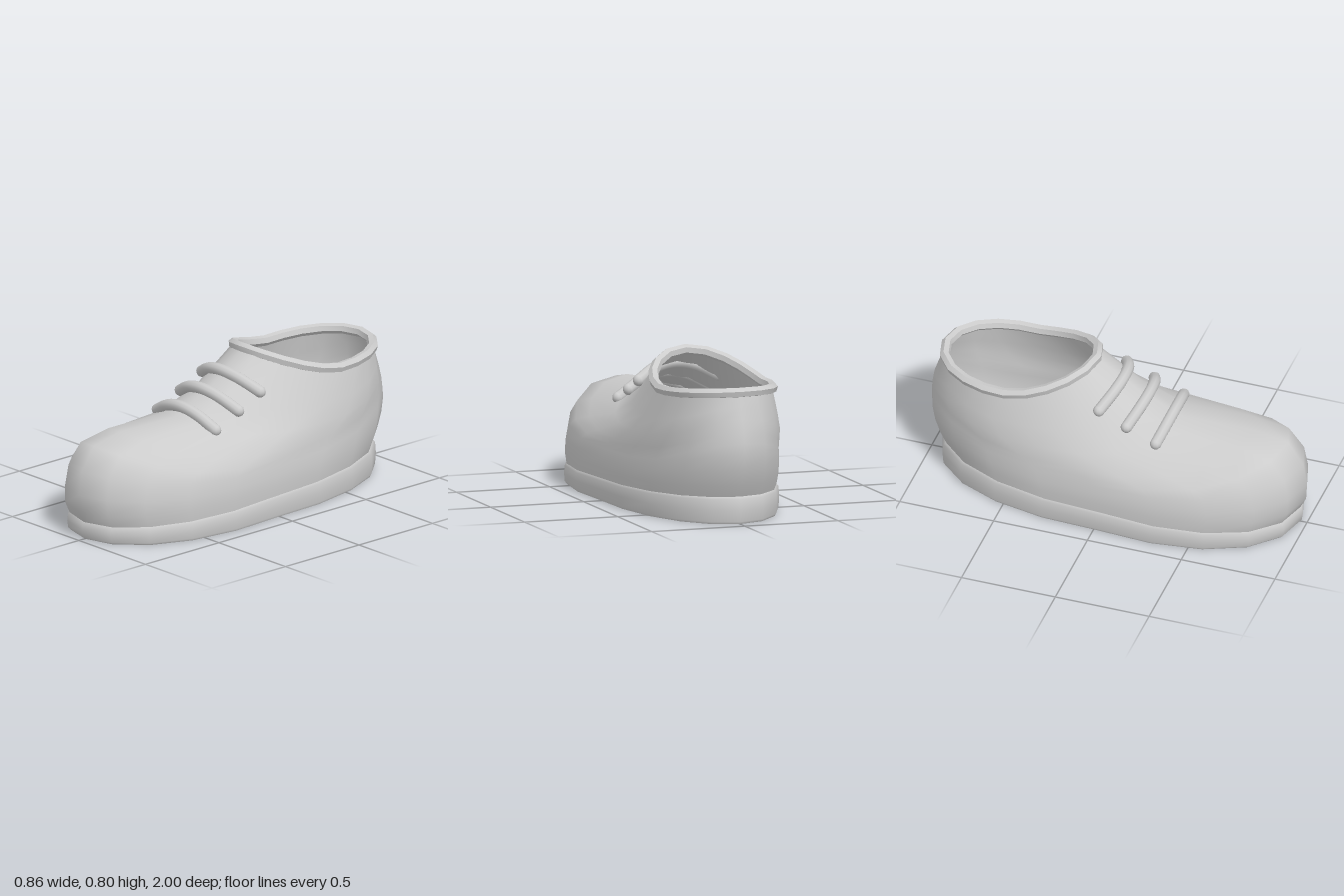
import * as THREE from 'three';
import { toCreasedNormals } from 'three/addons/utils/BufferGeometryUtils.js';

const SIDES = 20;
const material = new THREE.MeshStandardMaterial({ color: 0xcccccc, side: THREE.DoubleSide });

// One horizontal outline: front and back ends, half width, side height, and extra toe width.
function ring([zFront, yFront, zBack, yBack, width, ySide, toe = 0], power) {
  const zMid = (zFront + zBack) / 2, half = (zFront - zBack) / 2;
  return Array.from({ length: SIDES }, (_, i) => {
    const angle = (i / SIDES) * Math.PI * 2, c = Math.cos(angle);
    const yEnd = c > 0 ? yFront : yBack;
    const fullness = c > 0 ? toe * c : -0.08 * c;
    return new THREE.Vector3(
      width * Math.sin(angle) * (1 + fullness),
      ySide + (yEnd - ySide) * Math.pow(Math.abs(c), power),
      zMid + half * c
    );
  });
}

// Smooth skin through a stack of closed outlines.
function loft(rings) {
  const position = rings.flatMap(r => r.flatMap(p => p.toArray()));
  const index = [];
  for (let r = 0; r < rings.length - 1; r++) {
    for (let j = 0; j < SIDES; j++) {
      const next = (j + 1) % SIDES;
      const a = r * SIDES + j, b = r * SIDES + next;
      index.push(a, b, b + SIDES, a, b + SIDES, a + SIDES);
    }
  }
  const geometry = new THREE.BufferGeometry();
  geometry.setAttribute('position', new THREE.Float32BufferAttribute(position, 3));
  geometry.setIndex(index);
  geometry.computeVertexNormals();
  return geometry;
}

function add(parent, name, geometry) {
  const mesh = new THREE.Mesh(geometry, material);
  mesh.name = name;
  parent.add(mesh);
  return mesh;
}

// Outline shrunk to its middle, used to close the ends of the sole.
function centre(outline) {
  const middle = new THREE.Vector3();
  outline.forEach(p => middle.addScaledVector(p, 1 / SIDES));
  return outline.map(() => middle.clone());
}

export function createModel() {
  const shoe = new THREE.Group();
  shoe.name = 'shoe';

  // Sole: bulging wall, thicker at the heel, with flat closing faces
  const sole = new THREE.Group();
  sole.name = 'sole';
  shoe.add(sole);
  const wall = [
    [0.96, 0, -0.93, 0, 0.404, 0, 0.3],
    [0.972, 0.012, -0.938, 0.012, 0.41, 0.012, 0.3],
    [0.978, 0.05, -0.943, 0.07, 0.413, 0.058, 0.3],
    [0.972, 0.085, -0.938, 0.127, 0.41, 0.102, 0.3],
    [0.955, 0.096, -0.92, 0.14, 0.398, 0.115, 0.3],
  ].map(r => ring(r, 1));
  const top = wall[wall.length - 1];
  add(sole, 'soleWall', loft(wall));
  add(sole, 'outsole', loft([centre(wall[0]), wall[0]]));
  add(sole, 'insole', loft([top, centre(top)]));

  // Upper: outlines rise from the sole, close over the toe and narrow to the ankle
  const upper = [
    [0.965, 0.09, -0.92, 0.135, 0.4, 0.106, 0.3],
    [0.995, 0.15, -0.955, 0.2, 0.404, 0.165, 0.3],
    [1.0, 0.24, -0.985, 0.28, 0.4, 0.22, 0.3],
    [0.98, 0.36, -1.0, 0.36, 0.392, 0.265, 0.28],
    [0.9, 0.48, -0.995, 0.42, 0.385, 0.3, 0.25],
    [0.72, 0.515, -0.985, 0.48, 0.376, 0.335, 0.18],
    [0.35, 0.51, -0.965, 0.54, 0.355, 0.41, 0.1],
    [0.12, 0.61, -0.945, 0.6, 0.326, 0.5, 0.05],
  ].map((r, level) => ring(r, level < 4 ? 2 : 3));
  const opening = ring([-0.12, 0.77, -0.92, 0.67, 0.28, 0.645], 1.5);
  add(shoe, 'upper', loft([...upper, opening]));

  // Collar: faceted band around the opening
  const rim = new THREE.CatmullRomCurve3(opening, true);
  const band = new THREE.TubeGeometry(rim, SIDES, 0.027, 6, true);
  add(shoe, 'collar', toCreasedNormals(band, 0.7));

  // Laces: three bowed bars with rounded ends
  const laces = [
    [0.552, 0.3, 0.475, 0.268],
    [0.617, 0.16, 0.542, 0.112],
    [0.683, 0.025, 0.61, -0.035],
  ];
  laces.forEach(([yMid, zMid, yEnd, zEnd]) => {
    const lace = new THREE.Group();
    lace.name = 'lace';
    shoe.add(lace);
    const points = [-1, -0.5, 0, 0.5, 1].map(t => new THREE.Vector3(
      t * 0.218, yMid + (yEnd - yMid) * t * t, zMid + (zEnd - zMid) * t * t));
    add(lace, 'laceBar', new THREE.TubeGeometry(new THREE.CatmullRomCurve3(points), 16, 0.03, 10));
    for (const end of [points[0], points[4]]) {
      add(lace, 'laceEnd', new THREE.SphereGeometry(0.03, 10, 8)).position.copy(end);
    }
  });

  return shoe;
}
